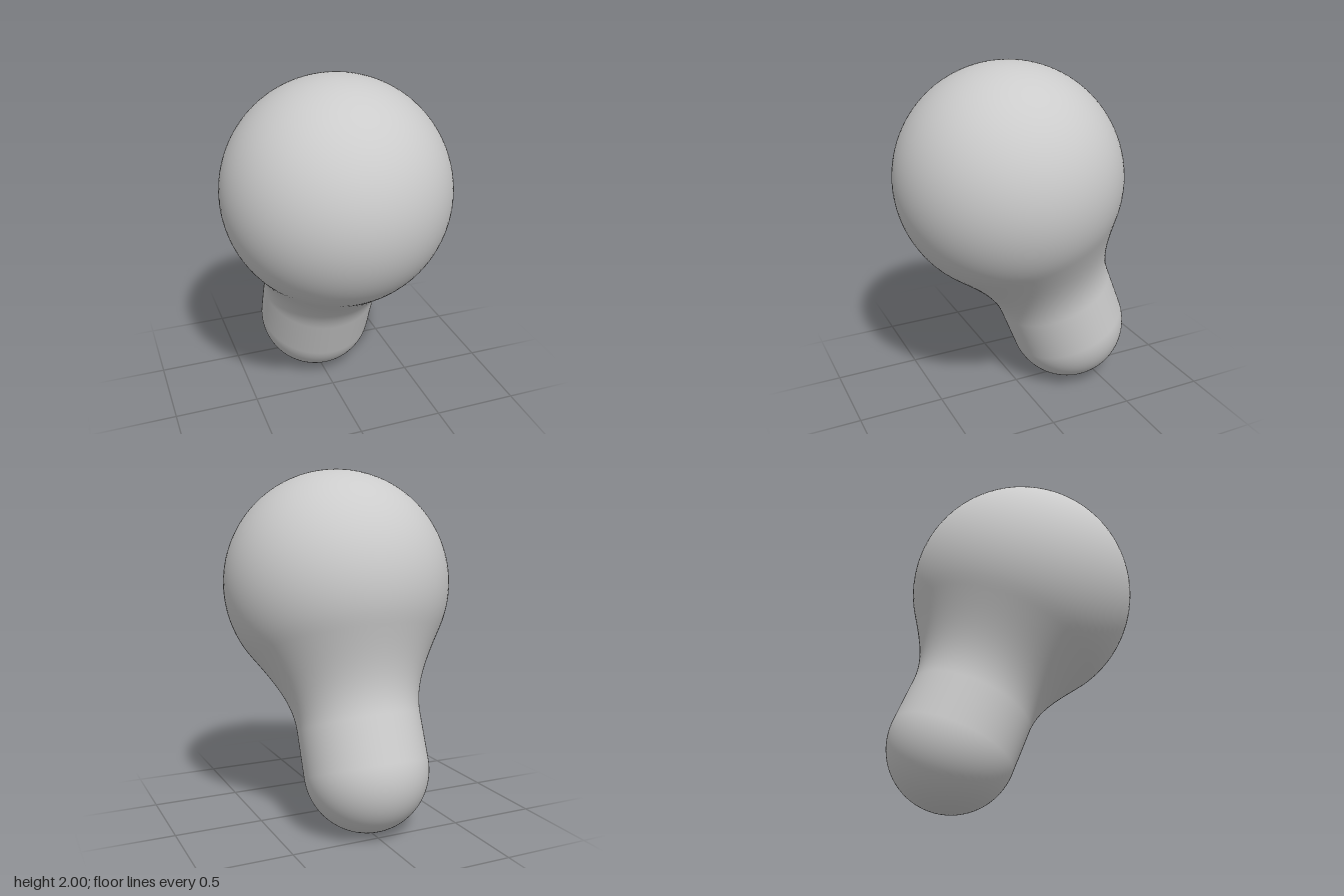
import * as THREE from 'three';

export function createModel() {
  const group = new THREE.Group();
  const material = new THREE.MeshStandardMaterial({ color: 0xcccccc });

  // Two ball centres along a leaning axis
  const stemRadius = 0.35, headRadius = 0.65;
  const foot = new THREE.Vector3(0, 0.35, -0.35);
  const head = new THREE.Vector3(0, 1.35, 0.05);
  const length = foot.distanceTo(head);

  const profile = [];
  const arc = (radius, height, from, to, steps) => {
    for (let i = 0; i <= steps; i++) {
      const a = from + (to - from) * i / steps;
      profile.push(new THREE.Vector2(Math.max(0, radius * Math.cos(a)), height + radius * Math.sin(a)));
    }
  };

  // Rounded foot
  arc(stemRadius, 0, -Math.PI / 2, 0, 24);

  // Straight stem flaring smoothly into the head
  const join = -0.577;
  const end = new THREE.Vector2(headRadius * Math.cos(join), length + headRadius * Math.sin(join));
  const tangent = new THREE.Vector2(Math.sin(join), -Math.cos(join));
  const neck = new THREE.CubicBezierCurve(
    new THREE.Vector2(stemRadius, 0.26),
    new THREE.Vector2(stemRadius, 0.42),
    end.clone().addScaledVector(tangent, 0.2),
    end
  );
  profile.push(...neck.getPoints(24).slice(0, -1));

  // Round head
  arc(headRadius, length, join, Math.PI / 2, 40);

  const bulb = new THREE.Mesh(new THREE.LatheGeometry(profile, 96), material);
  bulb.name = 'bulbBody';
  bulb.position.copy(foot);
  bulb.rotation.x = Math.atan2(head.z - foot.z, head.y - foot.y);
  group.add(bulb);
  return group;
}
